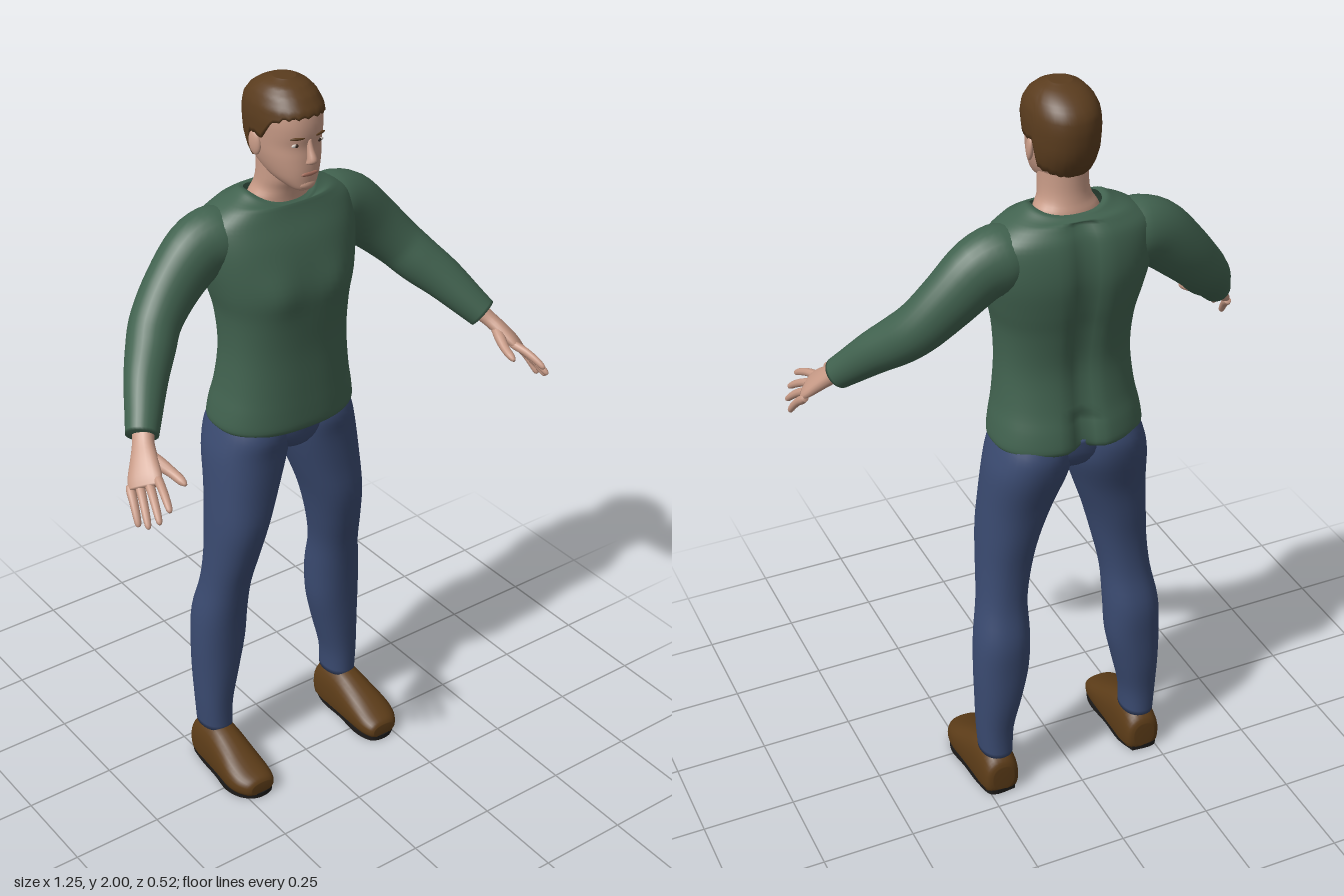
import * as THREE from 'three';

const V = (x, y, z) => new THREE.Vector3(x, y, z);
const mat = (name, color, side = THREE.FrontSide) => {
  const m = new THREE.MeshStandardMaterial({ color, side });
  m.name = name;
  return m;
};
const spow = (c, e) => Math.sign(c) * Math.abs(c) ** e;
const clamp = THREE.MathUtils.clamp, lerp = THREE.MathUtils.lerp;

// Closed-round surface through (rows + 1) rings of cols points, given by fn(t, angle)
function surface(rows, cols, fn, capStart = true, capEnd = true) {
  const pos = [], idx = [];
  for (let i = 0; i <= rows; i++)
    for (let j = 0; j < cols; j++) pos.push(...fn(i / rows, (j / cols) * Math.PI * 2).toArray());
  for (let i = 0; i < rows; i++)
    for (let j = 0; j < cols; j++) {
      const a = i * cols + j, b = i * cols + (j + 1) % cols;
      idx.push(a, b, a + cols, b, b + cols, a + cols);
    }
  const cap = (row, flip) => {
    const c = V(0, 0, 0), n = pos.length / 3;
    for (let j = 0; j < cols; j++) c.add(V().fromArray(pos, (row * cols + j) * 3));
    pos.push(...c.divideScalar(cols).toArray());
    for (let j = 0; j < cols; j++) {
      const a = row * cols + j, b = row * cols + (j + 1) % cols;
      idx.push(n, flip ? b : a, flip ? a : b);
    }
  };
  if (capStart) cap(0, true);
  if (capEnd) cap(rows, false);
  const g = new THREE.BufferGeometry();
  g.setAttribute('position', new THREE.Float32BufferAttribute(pos, 3));
  g.setIndex(idx);
  g.computeVertexNormals();
  return g;
}

// Smooth interpolation through rows of numbers
function sample(rows, t) {
  const n = rows.length - 1, f = t * n, i = Math.min(Math.floor(f), n - 1), u = f - i;
  const at = (k) => rows[clamp(k, 0, n)];
  return rows[0].map((_, k) => {
    const [a, b, c, d] = [at(i - 1)[k], at(i)[k], at(i + 1)[k], at(i + 2)[k]];
    return b + 0.5 * u * (c - a + u * (2 * a - 5 * b + 4 * c - d + u * (3 * (b - c) + d - a)));
  });
}

// Loft of rounded sections; rows are [x, y, z, radius across ref, radius along ref]
function loft(rows, { ref = V(0, 0, 1), dir, p = 2, cols = 24, sub = 4, warp, capEnd = true } = {}) {
  return surface((rows.length - 1) * sub, cols, (t, a) => {
    const [x, y, z, ru, rv] = sample(rows, t);
    const e = 0.01, A = sample(rows, Math.max(t - e, 0)), B = sample(rows, Math.min(t + e, 1));
    const d = dir ? dir.clone() : V(B[0] - A[0], B[1] - A[1], B[2] - A[2]).normalize();
    const v = ref.clone().addScaledVector(d, -ref.dot(d)).normalize();
    const u = v.clone().cross(d);
    const q = V(x, y, z).addScaledVector(u, ru * spow(Math.cos(a), 2 / p))
      .addScaledVector(v, rv * spow(Math.sin(a), 2 / p));
    if (warp) warp(q);
    return q;
  }, true, capEnd);
}

// [y, half width, front z, back z] to a level loft row
const level = ([y, w, f, b]) => [0, y, (f + b) / 2, w, (f - b) / 2];
const UP = V(0, 1, 0);

export function createModel() {
  const root = new THREE.Group();
  root.name = 'standingMan';
  const skin = mat('skin', 0xc79a86), hairMat = mat('brown hair', 0x5a3c1e, THREE.DoubleSide);
  const knit = mat('green knit', 0x41624f, THREE.DoubleSide), denim = mat('blue denim', 0x3a4a70);
  const leather = mat('brown leather', 0x5c3c18), rubber = mat('black rubber', 0x1c1a19);
  const white = mat('eye white', 0xd8d0c8), dark = mat('dark iris', 0x3a2a20), lip = mat('lip', 0xa8705f);
  const add = (name, geo, m, parent = root) => {
    const mesh = new THREE.Mesh(geo, m);
    mesh.name = name;
    parent.add(mesh);
    return mesh;
  };

  // Sweater body, with chest, spine groove and scooped neckline
  const torso = [
    [1.08, .192, .015, -.25], [1.095, .199, .022, -.257], [1.14, .193, .022, -.25], [1.2, .181, .02, -.235],
    [1.3, .172, .018, -.222], [1.4, .178, .024, -.234], [1.47, .195, .026, -.248], [1.54, .21, .014, -.257],
    [1.6, .215, -.003, -.253], [1.65, .208, -.025, -.24], [1.68, .172, -.036, -.222],
    [1.705, .122, -.042, -.205], [1.716, .1, -.046, -.195], [1.712, .086, -.056, -.184],
  ].map(level);
  add('sweaterBody', loft(torso, {
    dir: UP, p: 2.4, cols: 64, capEnd: false,
    warp: (q) => {
      const k = (q.z + .12) / .075, f = clamp((q.y - 1.69) / .025, 0, 1);
      if (f > 0) q.y -= f * Math.min(k * k, 1) * (k > 0 ? .038 : .018);
      else if (q.z < -.17) q.z += (q.y < 1.18 ? .032 : .018) * Math.exp(-((q.x / .03) ** 2));
      else if (q.z > -.05)
        q.z += .01 * Math.exp(-(((Math.abs(q.x) - .085) / .05) ** 2) - ((q.y - 1.48) / .06) ** 2);
    },
  }), knit);

  // Hips between the legs
  add('hips', loft([[.99, .03, -.06, -.16], [1.01, .08, -.022, -.2], [1.05, .14, -.005, -.225],
    [1.1, .17, .0, -.23]].map(level), { dir: UP }), denim);

  for (const s of [1, -1]) {
    const side = new THREE.Group();
    side.name = s > 0 ? 'leftLimbs' : 'rightLimbs';
    root.add(side);
    const flip = (rows) => rows.map(([x, ...r]) => [x * s, ...r]);

    // Sleeve
    add('sleeve', loft(flip([
      [.12, 1.605, -.135, .065, .07], [.17, 1.602, -.138, .084, .082], [.23, 1.583, -.138, .084, .074],
      [.303, 1.518, -.13, .075, .066], [.367, 1.452, -.108, .066, .063], [.408, 1.405, -.072, .063, .06],
      [.455, 1.355, -.022, .056, .052], [.5, 1.297, .034, .046, .044], [.524, 1.266, .064, .041, .04],
    ]), { cols: 28 }), knit, side);

    // Hand
    const across = V(.06 * s, -.036, -.05).normalize();
    add('palm', loft(flip([
      [.505, 1.29, .042, .026, .03], [.53, 1.258, .078, .02, .027], [.55, 1.23, .112, .019, .036],
      [.567, 1.205, .14, .016, .044], [.577, 1.188, .158, .011, .043],
    ]), { ref: across, p: 2.3, cols: 20 }), skin, side);
    const tips = [[.574, 1.172, .26], [.597, 1.142, .25], [.613, 1.122, .225], [.618, 1.11, .188]];
    tips.forEach((tip, i) => {
      const k = i / 3, a = [lerp(.55, .6, k), lerp(1.208, 1.172, k), lerp(.172, .13, k)];
      const rows = [-.2, 0, .35, .7, .93, 1].map((t, j) => {
        const r = [.009, .0115, .0105, .0095, .0075, .003][j];
        return [0, 1, 2].map((c) => lerp(a[c], tip[c], t) + (c === 1 ? .006 * Math.sin(Math.PI * t) : 0)).concat(r, r);
      });
      add('finger', loft(flip(rows), { ref: across, cols: 10, sub: 3 }), skin, side);
    });
    add('thumb', loft(flip([
      [.54, 1.242, .095, .013, .015], [.525, 1.227, .135, .015, .017], [.512, 1.214, .172, .012, .013],
      [.506, 1.205, .205, .01, .011], [.504, 1.2, .22, .004, .004],
    ]), { ref: across, cols: 12, sub: 3 }), skin, side);

    // Trouser leg
    add('trouserLeg', loft(flip([
      [.213, .12, -.143, .044, .057], [.2135, .2, -.143, .049, .058], [.2035, .3, -.146, .062, .066],
      [.1935, .4, -.145, .0735, .07], [.1885, .5, -.14, .0735, .074], [.179, .6, -.121, .066, .07],
      [.166, .7, -.106, .071, .08], [.151, .8, -.101, .081, .095], [.13, .9, -.108, .095, .102],
      [.109, 1, -.122, .107, .117], [.101, 1.06, -.123, .1, .124], [.095, 1.1, -.122, .092, .115],
    ]), { dir: UP, p: 2.2, cols: 32 }), denim, side);

    // Shoe upper, flattened underneath
    add('shoe', loft(flip([
      [.214, .05, -.204, .03, .036], [.214, .045, -.194, .046, .062], [.214, .04, -.16, .052, .09],
      [.215, .04, -.1, .054, .091], [.217, .038, -.04, .058, .072], [.219, .035, .01, .061, .053],
      [.217, .032, .05, .058, .038], [.213, .03, .078, .046, .028], [.211, .028, .088, .034, .018],
    ]), { ref: UP, dir: V(0, 0, 1), p: 2.4, cols: 28, warp: (q) => { q.y = Math.max(q.y, .01); } }), leather, side);

    // Sole
    const outline = [[.18, -.2], [.163, -.14], [.163, -.06], [.157, .02], [.168, .07], [.19, .088],
      [.23, .088], [.264, .06], [.28, .01], [.272, -.06], [.266, -.14], [.248, -.2]];
    const shape = new THREE.Shape(new THREE.SplineCurve(outline.concat([outline[0]])
      .map(([x, z]) => new THREE.Vector2(x * s, -z))).getPoints(48));
    add('sole', new THREE.ExtrudeGeometry(shape, { depth: .014, bevelEnabled: false }).rotateX(-Math.PI / 2),
      rubber, side);
  }

  // Neck and head
  const head = new THREE.Group();
  head.name = 'head';
  root.add(head);
  add('neck', loft([[1.64, .088, -.058, -.182], [1.69, .084, -.056, -.18], [1.72, .067, -.05, -.172],
    [1.75, .062, -.04, -.167], [1.8, .06, -.04, -.165]].map(level), { dir: UP }), skin, head);
  const skull = [
    [1.736, .018, .002, -.03], [1.743, .032, .012, -.06], [1.765, .053, .016, -.125], [1.79, .065, .018, -.165],
    [1.82, .073, .017, -.184], [1.85, .077, .015, -.195], [1.88, .079, .02, -.199], [1.91, .08, .02, -.2],
    [1.94, .076, .013, -.194], [1.965, .064, -.008, -.172], [1.982, .046, -.034, -.142], [1.992, .02, -.065, -.108],
  ];
  const P = 2.2;
  add('face', loft(skull.map(level), { dir: UP, p: P, cols: 40 }), skin, head);
  const skullAt = (y) => {
    let i = 0;
    while (i < skull.length - 2 && skull[i + 1][0] < y) i++;
    const k = clamp((y - skull[i][0]) / (skull[i + 1][0] - skull[i][0]), 0, 1);
    return skull[i].map((a, c) => lerp(a, skull[i + 1][c], k));
  };
  const faceZ = (x, y) => {
    const [, w, f, b] = skullAt(y);
    return (f + b) / 2 + ((f - b) / 2) * (1 - Math.abs(x / w) ** P) ** (1 / P);
  };

  // Cropped hair; the hairline height follows the angle away from the brow
  const line = [[0, 1.928], [.75, 1.925], [1.15, 1.908], [1.36, 1.868], [1.75, 1.872], [1.92, 1.805], [3.15, 1.785]];
  const hairline = (a) => {
    const i = line.findIndex(([k], n) => n > 0 && a <= k);
    const [a0, y0] = line[i - 1], [a1, y1] = line[i];
    return lerp(y0, y1, (a - a0) / (a1 - a0));
  };
  add('hair', surface(18, 72, (t, a) => {
    const fromBrow = Math.acos(clamp(Math.cos(a), -1, 1));
    const low = hairline(fromBrow) + .003 * Math.sin(a * 23);
    const k = Math.max(0, (t * 18 - 1) / 17), y = lerp(low, 1.992, Math.sin(k * Math.PI / 2));
    const [, w, f, b] = skullAt(y), o = t === 0 ? -.005 : .007;
    return V((w + o) * spow(Math.sin(a), 2 / P), y + .007 * k,
      (f + b) / 2 + ((f - b) / 2 + o) * spow(Math.cos(a), 2 / P));
  }, false, true), hairMat, head);

  // Nose and lips
  add('nose', loft([[0, 1.872, .012, .006, .007], [0, 1.848, .018, .008, .01], [0, 1.824, .026, .012, .014],
    [0, 1.813, .022, .014, .012], [0, 1.807, .014, .008, .005]], { dir: V(0, -1, 0), cols: 16 }), skin, head);
  const ball = (name, m, x, y, z, rx, ry, rz) => {
    const b = add(name, new THREE.SphereGeometry(1, 20, 14), m, head);
    b.position.set(x, y, z);
    b.scale.set(rx, ry, rz);
    return b;
  };
  ball('lips', lip, 0, 1.783, faceZ(0, 1.783) - .002, .024, .006, .005);
  ball('chin', skin, 0, 1.754, .004, .024, .015, .013);

  // Eyes, brows and ears
  for (const s of [1, -1]) {
    const x = .033 * s;
    ball('eye', white, x, 1.859, faceZ(x, 1.859) - .002, .013, .005, .004);
    ball('iris', dark, x, 1.859, faceZ(x, 1.859) + .0005, .005, .0048, .003);
    ball('brow', hairMat, x, 1.877, faceZ(x, 1.877), .019, .0035, .004).rotation.y = .3 * s;
    ball('ear', skin, .081 * s, 1.845, -.095, .009, .031, .018).rotation.set(-.15, -.25 * s, 0);
  }
  return root;
}
